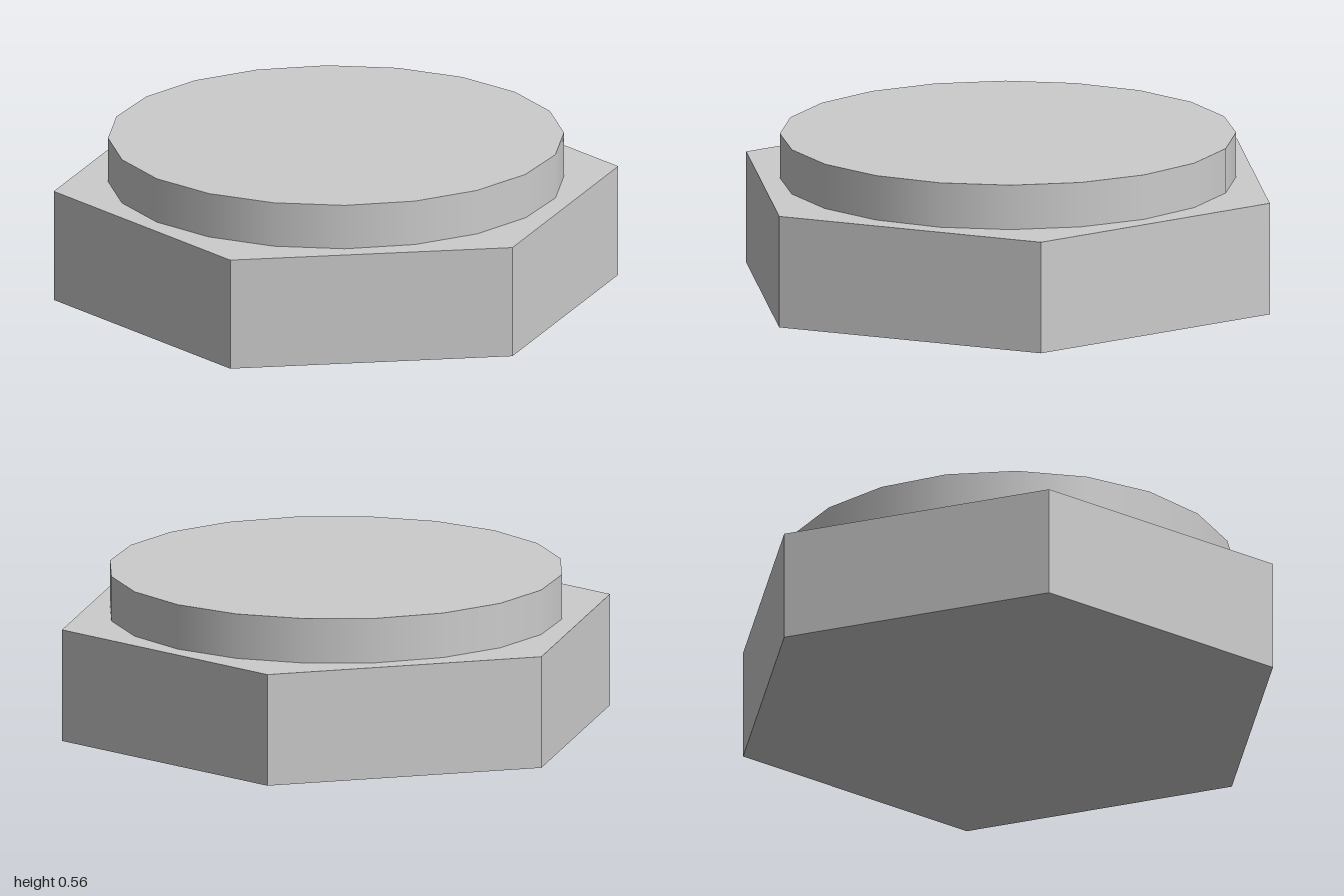
import * as THREE from 'three';

export function createModel() {
  const model = new THREE.Group();

  // Adds an upright prism standing at height y
  const addPrism = (name, radius, y, height, sides, start, flatShading) => {
    const geometry = new THREE.CylinderGeometry(radius, radius, height, sides, 1, false, start);
    geometry.translate(0, y + height / 2, 0);
    const mesh = new THREE.Mesh(geometry, new THREE.MeshStandardMaterial({ color: 0xcccccc, flatShading }));
    mesh.name = name;
    model.add(mesh);
  };

  // Hexagonal base with corners on the x axis
  addPrism('hexBase', 1, 0, 0.4, 6, Math.PI / 6, true);

  // Smooth round disc on top
  addPrism('topDisc', 0.8, 0.4, 0.16, 20, 0, false);

  return model;
}
